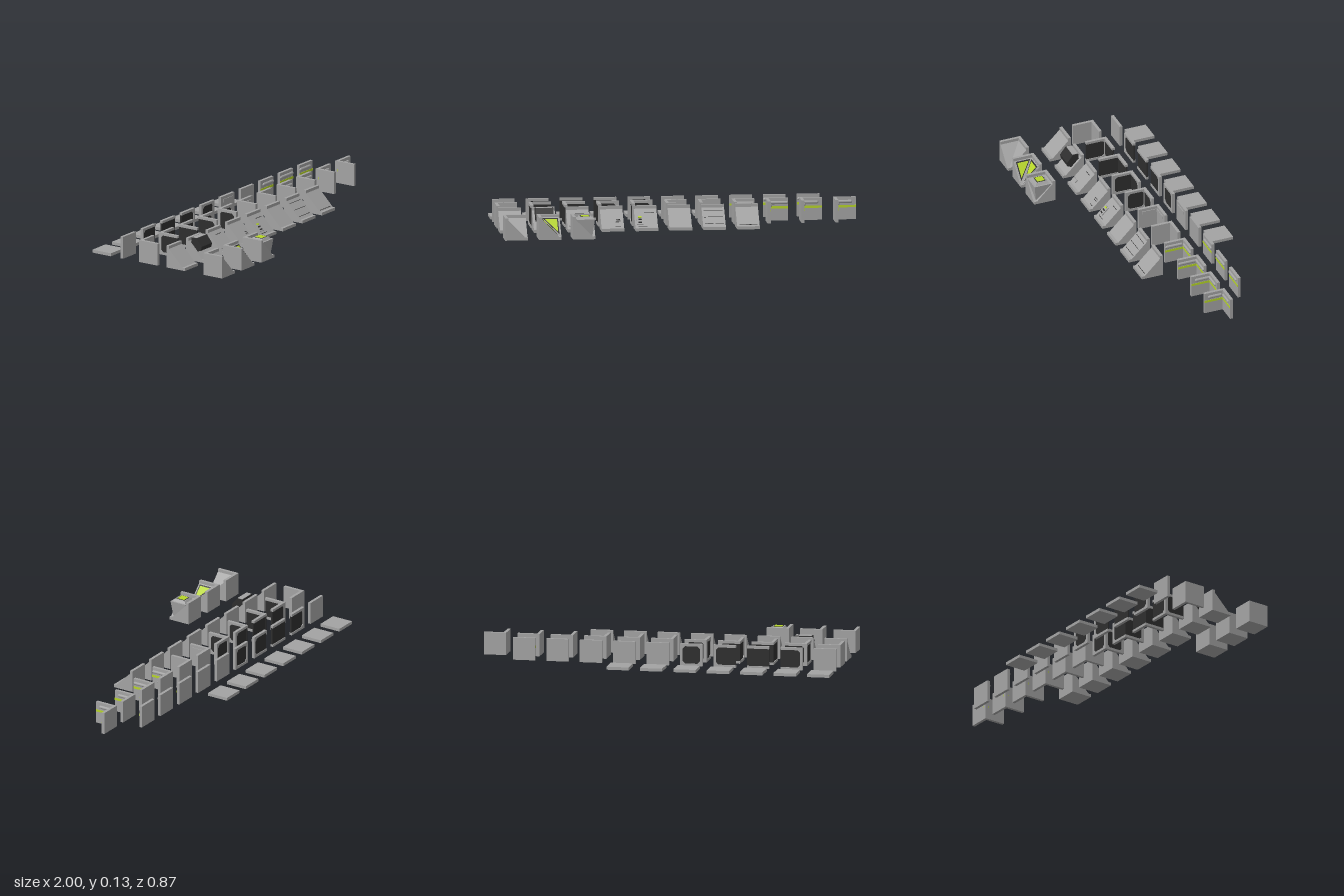
import * as THREE from 'three';

const S = 0.125, T = 0.0167, H = S / 2, PITCH = 0.1875;
const mat = (name, color) => {
  const m = new THREE.MeshStandardMaterial({ color });
  m.name = name;
  return m;
};

export function createModel() {
  const grey = mat('panel grey', 0xa3a3a3);
  const dark = mat('dark glass', 0x2e2e2e);
  const lime = mat('lime accent', 0xb5d42a);
  const model = new THREE.Group();
  model.name = 'modularTileKit';

  const add = (parent, name, geo, m, x = 0, y = 0, z = 0) => {
    const mesh = new THREE.Mesh(geo, m);
    mesh.name = name;
    mesh.position.set(x, y, z);
    parent.add(mesh);
    return mesh;
  };
  const box = (parent, name, m, w, h, d, x, y, z) =>
    add(parent, name, new THREE.BoxGeometry(w, h, d), m, x, y, z);
  const extrude = (points, depth) => new THREE.ExtrudeGeometry(
    new THREE.Shape(points.map(p => new THREE.Vector2(...p))), { depth, bevelEnabled: false });
  const group = (parent, name, x = 0, y = 0, z = 0) => {
    const g = new THREE.Group();
    g.name = name;
    g.position.set(x, y, z);
    parent.add(g);
    return g;
  };
  const columnX = i => -0.9375 + PITCH * i;

  // Rounded rail lying on a wall face, from x0 to x1
  const rail = (parent, x0, x1) => {
    const r = 0.009;
    const geo = new THREE.CapsuleGeometry(r, x1 - x0 - 2 * r, 4, 12);
    geo.rotateZ(Math.PI / 2);
    geo.scale(1, 1, 0.9);
    add(parent, 'rail', geo, grey, (x0 + x1) / 2, 0.0995, T);
  };

  // Window frame; posts are left out where the window runs on into the next tile
  const windowWall = (parent, leftPost, rightPost) => {
    const b = 0.014, c = 0.014;
    box(parent, 'bottomFrame', grey, S, b, T, 0, b / 2, T / 2);
    box(parent, 'topFrame', grey, S, b, T, 0, S - b / 2, T / 2);
    box(parent, 'window', dark, S - 0.001, S - 2 * b, 0.009, 0, H, T / 2);
    for (const [side, on] of [[-1, leftPost], [1, rightPost]]) {
      if (!on) continue;
      box(parent, 'sidePost', grey, b, S - 2 * b, T, side * (H - b / 2), H, T / 2);
      for (const v of [-1, 1]) {
        const x = side * (H - b), y = H + v * (H - b);
        add(parent, 'cornerGusset', extrude([[x, y], [x - side * c, y], [x, y - v * c]], T), grey);
      }
    }
  };

  // One upright wall: inner face on +z, back on z = 0
  const wall = (parent, kind) => {
    const g = group(parent, 'wall');
    if (kind >= 1 && kind <= 4) {
      windowWall(g, kind === 1 || kind === 4, kind === 3 || kind === 4);
      return g;
    }
    box(g, 'wallPanel', grey, S, S, T, 0, H, T / 2);
    if (kind === 5) box(g, 'ventBox', grey, 0.085, 0.018, 0.004, 0, 0.1, T + 0.002);
    if (kind >= 7) {
      const start = kind === 7 || kind === 10, end = kind >= 9;
      rail(g, start ? -0.042 : -H, end ? 0.042 : H);
      box(g, 'stripe', lime, S, 0.013, 0.0016, 0, 0.0735, T + 0.0006);
    }
    return g;
  };

  // Floor tiles
  for (let i = 0; i < 7; i++) box(model, 'floorTile', grey, S, T, S, columnX(i), T / 2, -0.375);

  // Straight walls
  for (let i = 0; i < 10; i++) wall(group(model, 'straightWall', columnX(i), 0, -0.247), i);

  // Corner walls: a back arm and a left arm
  const mirrored = { 1: 3, 3: 1, 7: 9, 9: 7 };
  for (let i = 0; i < 11; i++) {
    const g = group(model, 'cornerWall', columnX(i), 0, -0.0605);
    wall(g, i).position.z = -H;
    const arm = wall(g, mirrored[i] ?? i);
    arm.rotation.y = Math.PI / 2;
    arm.position.x = -H;
  }

  // Sloped wall body, falling towards +z
  const slopeGeo = extrude([[-H, 0], [H, 0], [H, T], [H - T, T], [T - H, S - T], [T - H, S], [-H, S]], S);
  slopeGeo.translate(0, 0, -H);
  slopeGeo.rotateY(-Math.PI / 2);
  // Frame on the slope: y runs uphill, z points out of the face
  const slopeFace = parent => {
    const f = group(parent, 'slopeFace', 0, H, 0);
    f.rotation.x = -Math.PI / 4;
    return f;
  };

  for (let i = 0; i < 8; i++) {
    const g = group(model, 'slopedWall', columnX(i), 0, 0.1225);
    add(g, 'slopeBody', slopeGeo, grey);
    const f = slopeFace(g);
    if (i === 1) {
      // Console with a dark hood and a pale top
      const hood = extrude([[-0.036, 0.1], [0.008, 0.055], [0.03, 0.062], [0.034, 0.085], [0, 0.128], [-0.033, 0.128]], 0.1);
      hood.translate(0, 0, -0.05);
      hood.rotateY(-Math.PI / 2);
      add(g, 'consoleHood', hood, dark);
      box(g, 'consoleTop', grey, 0.09, 0.003, 0.032, 0, 0.1285, -0.0165);
    }
    if (i === 2) {
      box(f, 'smallPanel', grey, 0.04, 0.018, 0.007, -0.033, -0.04, 0.003);
      box(f, 'upperSlot', dark, 0.05, 0.003, 0.001, 0.01, 0.04, 0.0004);
    }
    if (i === 3) {
      box(f, 'vent', grey, 0.032, 0.02, 0.005, 0.032, -0.015, 0.002);
      for (const y of [-0.02, -0.01]) box(f, 'ventSlot', dark, 0.024, 0.003, 0.001, 0.032, y, 0.005);
      box(f, 'lowerSlot', dark, 0.03, 0.003, 0.001, 0.03, -0.055, 0.0004);
    }
    if (i === 4) {
      // Control cluster
      box(f, 'controlPlate', grey, 0.036, 0.055, 0.006, -0.034, -0.015, 0.003);
      for (const y of [-0.032, -0.014]) box(f, 'button', dark, 0.018, 0.007, 0.006, -0.034, y, 0.007);
      box(f, 'litButton', lime, 0.018, 0.009, 0.006, -0.034, 0.003, 0.007);
      box(f, 'upperSlot', dark, 0.055, 0.003, 0.001, 0.02, 0.04, 0.0004);
      box(f, 'lowerSlot', dark, 0.05, 0.003, 0.001, -0.02, -0.055, 0.0004);
    }
    if (i === 6) for (const y of [-0.045, 0, 0.045]) {
      box(f, 'groove', dark, 0.105, 0.0025, 0.001, 0, y, 0.0004);
    }
    if (i === 7) box(f, 'footLine', dark, 0.1, 0.003, 0.001, 0, -0.056, 0.0004);
  }

  // Inside corner slopes: two slopes meeting in a valley
  for (let i = 0; i < 3; i++) {
    const g = group(model, 'cornerSlope', columnX(i), 0, 0.3725);
    for (const side of [1, -1]) {
      const half = group(g, side > 0 ? 'backSlope' : 'leftSlope');
      if (side < 0) half.rotation.y = Math.PI / 2;
      add(half, 'slopeBody', slopeGeo, grey);
      if (i !== 1) continue;
      // Layered triangular light on the slope
      const f = slopeFace(half);
      const tri = (k, depth, name, m) => {
        const cx = 0.024, cy = 0.021;
        const pts = [[-0.042, 0.064], [0.057, 0.064], [0.057, -0.064]];
        add(f, name, extrude(pts.map(([x, y]) => [side * (cx + (x - cx) * k), cy + (y - cy) * k]), depth), m);
      };
      tri(1, 0.004, 'lightFrame', grey);
      tri(0.86, 0.005, 'lightRim', dark);
      tri(0.68, 0.006, 'lightPanel', lime);
    }
    if (i === 2) {
      // Pedestal widening upwards, with a chamfered cap and a lit top
      const frustum = (name, top, bottom, y0, y1) => {
        const geo = new THREE.CylinderGeometry(top * Math.SQRT1_2, bottom * Math.SQRT1_2, y1 - y0, 4).toNonIndexed();
        geo.rotateY(Math.PI / 4);
        geo.computeVertexNormals();
        return add(g, name, geo, grey, 0.009, (y0 + y1) / 2, 0.009);
      };
      frustum('pedestal', 0.1, 0.076, T, 0.109);
      frustum('pedestalCap', 0.062, 0.08, 0.109, 0.122);
      box(g, 'pedestalRim', dark, 0.052, 0.002, 0.052, 0.009, 0.1222, 0.009);
      box(g, 'pedestalLight', lime, 0.044, 0.004, 0.044, 0.009, 0.1225, 0.009);
    }
  }
  return model;
}
